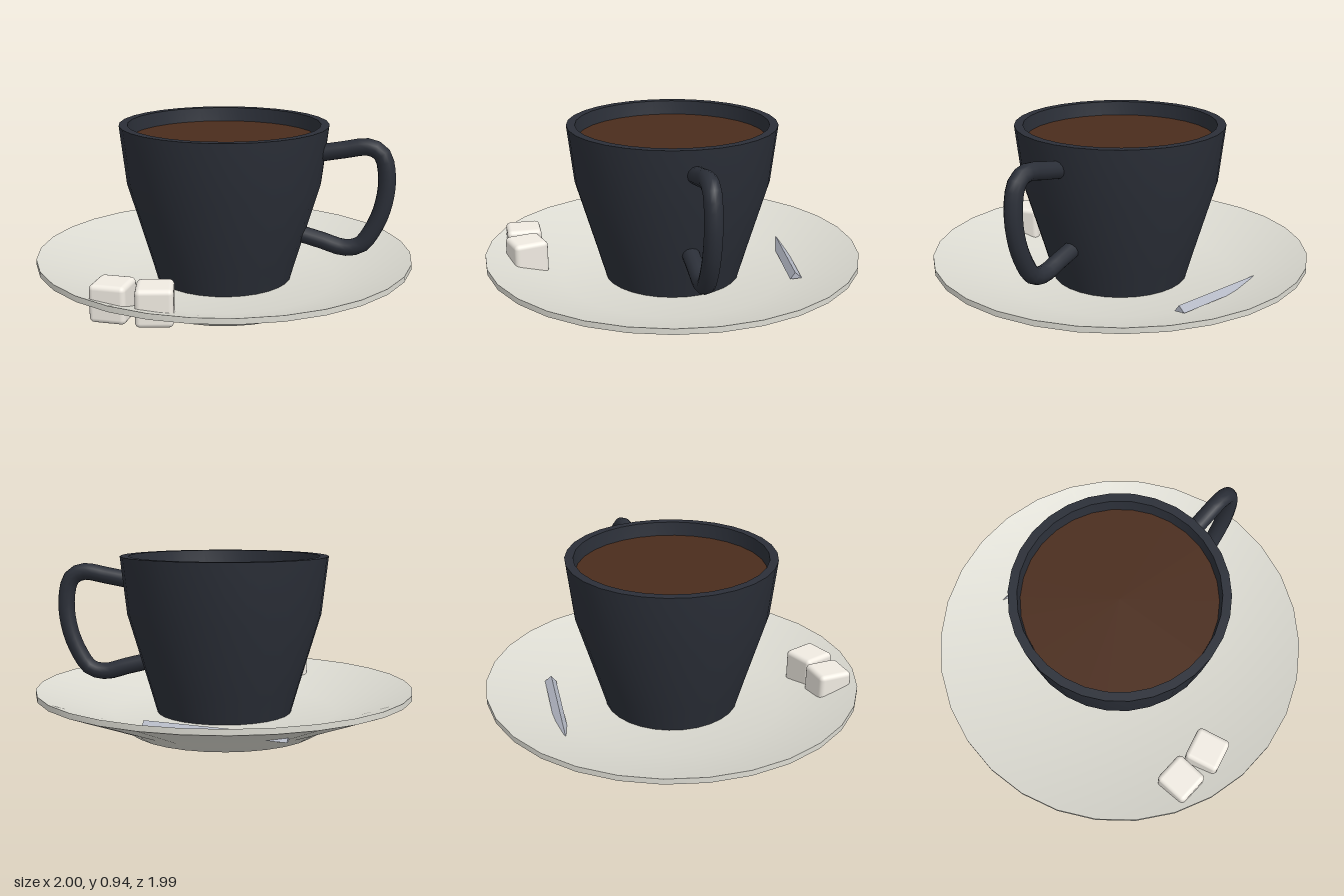
import * as THREE from 'three';
import { toCreasedNormals } from 'three/addons/utils/BufferGeometryUtils.js';
import { RoundedBoxGeometry } from 'three/addons/geometries/RoundedBoxGeometry.js';

const SIDES = 30;
const mat = (color) => new THREE.MeshStandardMaterial({ color });

function part(name, geometry, material) {
  const mesh = new THREE.Mesh(geometry, material);
  mesh.name = name;
  return mesh;
}

// Turned solid with a corner on the x axis and sharp rims
function turned(profile) {
  const points = profile.map(([r, y]) => new THREE.Vector2(r, y));
  return toCreasedNormals(new THREE.LatheGeometry(points, SIDES, Math.PI / 2), 0.7);
}

export function createModel() {
  const group = new THREE.Group();
  const china = mat(0xdcdbd2);
  const dark = mat(0x2b2f38);
  const white = mat(0xf0ebe2);

  // Saucer: small foot, sloping underside, thin rim, dished top
  group.add(part('saucer', turned([
    [0, 0], [0.5, 0], [0.58, 0.05], [1, 0.21], [1, 0.24], [0.6, 0.105], [0, 0.1],
  ]), china));

  // Cup: outer wall, flat rim, inner wall and floor
  group.add(part('cup', turned([
    [0, 0.1], [0.36, 0.1], [0.4, 0.24], [0.515, 0.63], [0.55, 0.935],
    [0.505, 0.935], [0.47, 0.63], [0.34, 0.2], [0, 0.18],
  ]), dark));

  // Coffee surface just below the rim
  const coffee = part('coffee', new THREE.CircleGeometry(0.496, SIDES), mat(0x4a2c1c));
  coffee.rotation.x = -Math.PI / 2;
  coffee.position.y = 0.86;
  group.add(coffee);

  // Handle: bent tube with both ends sunk into the cup wall
  const path = new THREE.CatmullRomCurve3([
    [0.5, 0.8], [0.63, 0.825], [0.76, 0.845], [0.825, 0.81], [0.855, 0.68],
    [0.835, 0.52], [0.78, 0.39], [0.73, 0.325], [0.65, 0.305], [0.53, 0.335], [0.41, 0.365],
  ].map(([x, y]) => new THREE.Vector3(x, y, 0)));
  group.add(part('handle', new THREE.TubeGeometry(path, 28, 0.045, 12), dark));

  // Two sugar cubes lying partly through the saucer
  for (const [x, z, turn] of [[-0.35, 0.772, 0], [-0.14, 0.772, 0.27]]) {
    const cube = part('sugarCube', new RoundedBoxGeometry(0.182, 0.188, 0.186, 3, 0.025), white);
    cube.position.set(x, 0.204, z);
    cube.rotation.y = turn;
    group.add(cube);
  }

  // Stirrer: three-sided bar behind the cup, its far end dipping into the saucer
  const section = new THREE.Shape([
    new THREE.Vector2(0, 0), new THREE.Vector2(-0.036, -0.03), new THREE.Vector2(0.026, -0.037),
  ]);
  const stirrer = part('stirrer',
    new THREE.ExtrudeGeometry(section, { depth: 0.71, bevelEnabled: false }), mat(0xb4b8c4));
  stirrer.position.set(0.34, 0.175, -0.587);
  stirrer.lookAt(-0.36, 0.145, -0.695);
  group.add(stirrer);

  return group;
}
